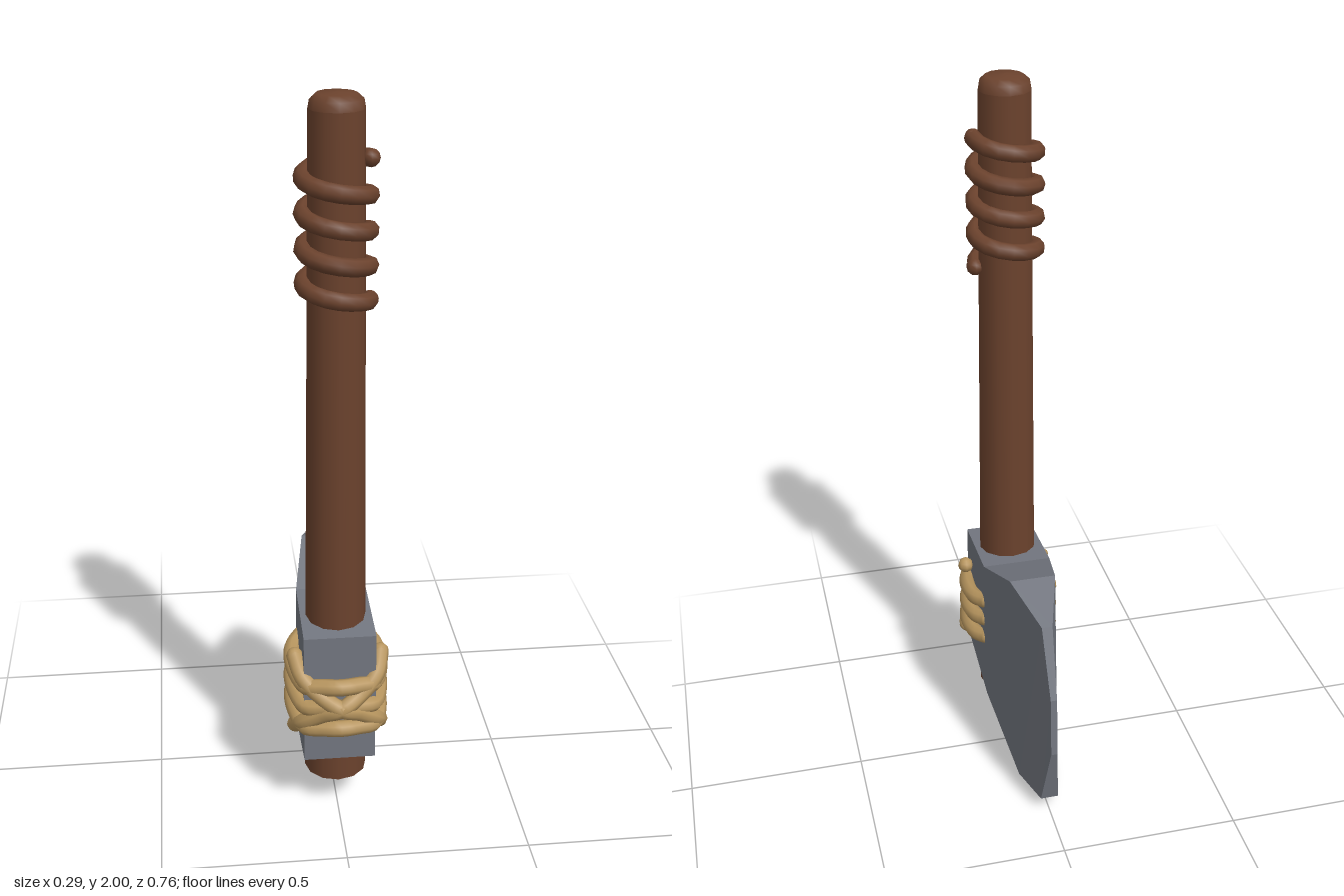
import * as THREE from 'three';

const HANDLE_Z = 0.193;

const mat = (name, color, extra = {}) => {
  const m = new THREE.MeshStandardMaterial({ color, ...extra });
  m.name = name;
  return m;
};

function add(parent, name, geometry, material) {
  const mesh = new THREE.Mesh(geometry, material);
  mesh.name = name;
  parent.add(mesh);
  return mesh;
}

// Cord along a smooth path, with rounded ends
function cord(parent, name, points, radius, material, segments) {
  const group = new THREE.Group();
  group.name = name;
  parent.add(group);
  const curve = new THREE.CatmullRomCurve3(points.map((p) => new THREE.Vector3(...p)));
  add(group, name + 'Strand', new THREE.TubeGeometry(curve, segments, radius, 8), material);
  for (const t of [0, 1]) {
    const end = add(group, name + 'End', new THREE.SphereGeometry(radius, 8, 6), material);
    end.position.copy(curve.getPoint(t));
  }
}

// Axe head: four-cornered sections from the butt to the cutting edge
function headGeometry() {
  // [top z, top y, top half width, bottom z, bottom y, bottom half width]
  const sections = [
    [0.31, 0.58, 0.098, 0.31, 0.195, 0.098],
    [0.07, 0.6, 0.098, 0.05, 0.15, 0.098],
    [-0.12, 0.67, 0.065, -0.165, 0.005, 0.05],
    [-0.285, 0.62, 0.015, -0.33, 0.05, 0.025],
    [-0.365, 0.43, 0.009, -0.378, 0.25, 0.009],
  ];
  const pos = [];
  const index = [];
  for (const [tz, ty, tw, bz, by, bw] of sections) {
    pos.push(tw, ty, tz, -tw, ty, tz, -bw, by, bz, bw, by, bz);
  }
  const quad = (a, b, c, d) => index.push(a, b, c, a, c, d);
  for (let s = 0; s < sections.length - 1; s++) {
    for (let k = 0; k < 4; k++) {
      const a = s * 4 + k;
      const b = s * 4 + ((k + 1) % 4);
      quad(a, a + 4, b + 4, b);
    }
  }
  const e = (sections.length - 1) * 4;
  quad(0, 1, 2, 3);
  quad(e + 3, e + 2, e + 1, e);
  const geo = new THREE.BufferGeometry();
  geo.setAttribute('position', new THREE.Float32BufferAttribute(pos, 3));
  geo.setIndex(index);
  const flat = geo.toNonIndexed();
  flat.computeVertexNormals();
  return flat;
}

export function createModel() {
  const model = new THREE.Group();
  model.name = 'axe';
  const wood = mat('brownWood', 0x6b422d);
  const stone = mat('greyStone', 0x737780, { flatShading: true });
  const rope = mat('tanRope', 0xb8965f);

  // Tapered shaft with a shallow domed top
  const handle = new THREE.Group();
  handle.name = 'handle';
  handle.position.z = HANDLE_Z;
  model.add(handle);
  const shaft = add(handle, 'shaft', new THREE.CylinderGeometry(0.07, 0.087, 1.86, 12), wood);
  shaft.position.y = 1.03;
  const dome = [[0.07, 0], [0.066, 0.022], [0.05, 0.036], [0, 0.04]];
  const cap = add(handle, 'handleCap',
    new THREE.LatheGeometry(dome.map((p) => new THREE.Vector2(...p)), 12), wood);
  cap.position.y = 1.96;

  // Grip binding: four descending turns
  const turns = 4;
  const coil = [];
  for (let i = 0; i <= turns * 12; i++) {
    const a = (i / 12) * Math.PI * 2;
    coil.push([0.084 * Math.cos(a), 1.84 - (0.355 * i) / (turns * 12), -0.084 * Math.sin(a)]);
  }
  cord(handle, 'gripBinding', coil, 0.023, wood, turns * 16);

  add(model, 'axeHead', headGeometry(), stone);

  // Lashing: three bands around the butt
  const lashing = new THREE.Group();
  lashing.name = 'lashing';
  model.add(lashing);
  for (const y of [0.465, 0.4, 0.335]) {
    const half = [[0.088, y, 0.09], [0.113, y - 0.008, 0.13], [0.121, y - 0.015, 0.19],
      [0.112, y - 0.026, 0.26], [0.094, y - 0.032, 0.306], [0.05, y - 0.025, 0.328]];
    const mirrored = half.map(([x, yy, z]) => [-x, yy, z]).reverse();
    cord(lashing, 'lashingBand', [...half, [0, y - 0.02, 0.343], ...mirrored], 0.023, rope, 40);
  }

  // Two strands crossing over the front
  for (const s of [1, -1]) {
    cord(lashing, 'crossStrand', [
      [0.118 * s, 0.495, 0.247], [0.1 * s, 0.455, 0.3], [0.05 * s, 0.41, 0.332],
      [0, 0.383, 0.355],
      [-0.05 * s, 0.356, 0.332], [-0.1 * s, 0.315, 0.3], [-0.118 * s, 0.275, 0.247],
    ], 0.023, rope, 30);
  }
  return model;
}
